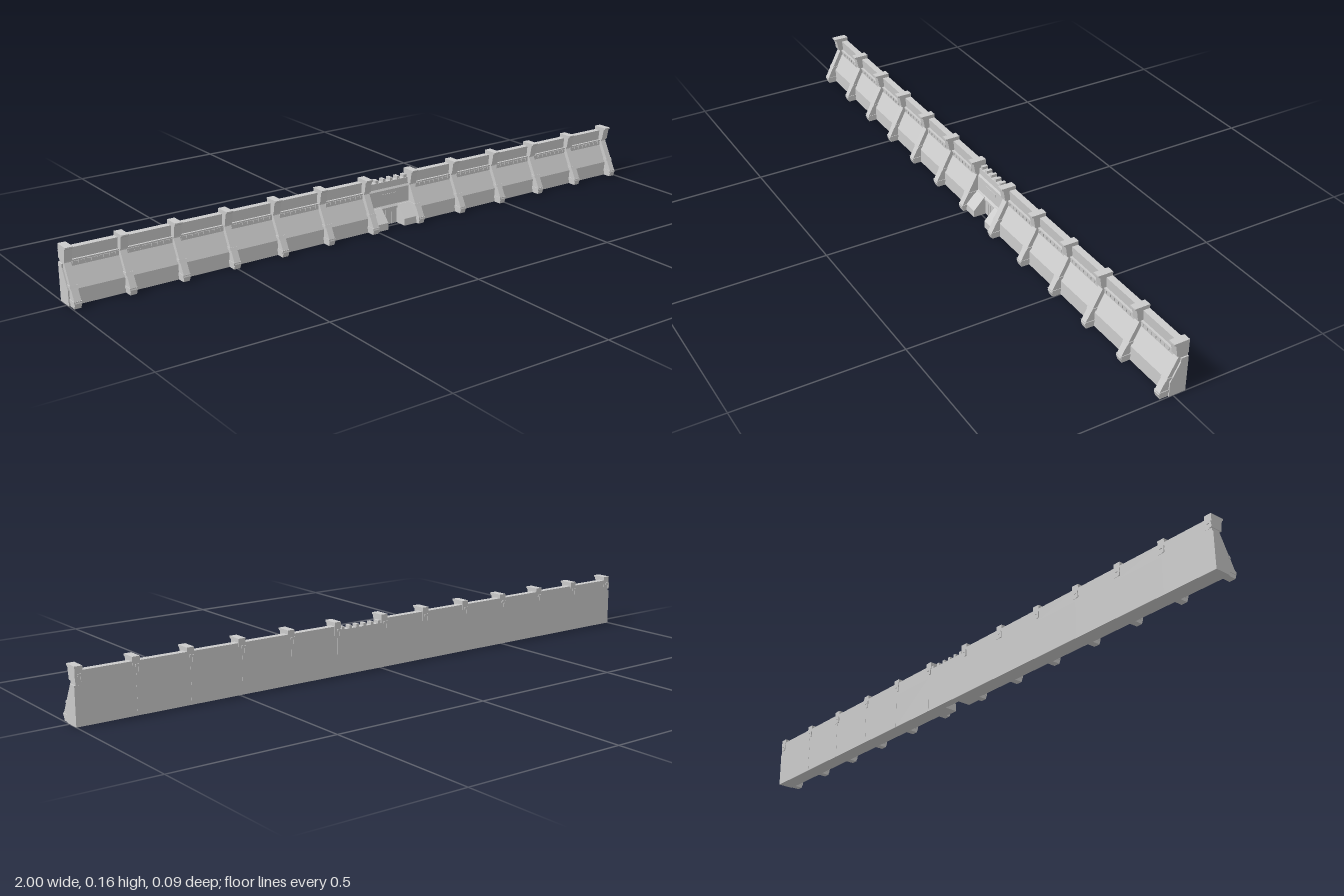
import * as THREE from 'three';
import { mergeGeometries } from 'three/addons/utils/BufferGeometryUtils.js';

const material = new THREE.MeshStandardMaterial({ color: 0xcccccc, flatShading: true });

// Sweep a [z, y] outline along x from x0 to x1
function prism(outline, x0, x1) {
  const shape = new THREE.Shape(outline.map(([z, y]) => new THREE.Vector2(-z, y)));
  return new THREE.ExtrudeGeometry(shape, { depth: x1 - x0, bevelEnabled: false })
    .rotateY(Math.PI / 2).translate(x0, 0, 0);
}

// Axis-aligned block given by its limits
function block(x0, x1, y0, y1, z0, z1) {
  return prism([[z0, y0], [z1, y0], [z1, y1], [z0, y1]], x0, x1);
}

export function createModel() {
  const group = new THREE.Group();
  const add = (name, geos) => {
    const mesh = new THREE.Mesh(mergeGeometries(geos), material);
    mesh.name = name;
    group.add(mesh);
  };

  // Buttress centres: seven left of the gate, six right of it
  const posts = [];
  for (let i = 0; i < 7; i++) posts.push(-0.986 + i * 0.1617);
  for (let i = 0; i < 6; i++) posts.push(0.158 + i * 0.1656);
  const gate = 6;

  const wallOutline = [[-0.039, 0], [0.0125, 0], [0.0125, 0.045], [-0.016, 0.1], [-0.016, 0.112], [-0.039, 0.112]];
  const parapetOutline = [[-0.039, 0.112], [-0.016, 0.112], [-0.021, 0.118], [-0.018, 0.151], [-0.039, 0.151]];
  const buttressOutline = [[-0.0385, 0], [0.038, 0], [0.043, 0.015], [0.041, 0.02],
    [-0.009, 0.115], [-0.009, 0.122], [-0.0385, 0.122]];
  const headOutline = [[-0.0395, 0.121], [-0.004, 0.121], [0.002, 0.155], [0.008, 0.159],
    [0.008, 0.163], [-0.0395, 0.163]];

  // Battered wall sections with parapet, stringcourse and corbels
  const walls = [], parapets = [], courses = [], corbels = [];
  for (let i = 0; i < posts.length - 1; i++) {
    if (i === gate) continue;
    const x0 = i === 0 ? -1 : posts[i];
    const x1 = i === posts.length - 2 ? 1 : posts[i + 1];
    walls.push(prism(wallOutline, x0, x1));
    parapets.push(prism(parapetOutline, posts[i], posts[i + 1]));
    courses.push(block(posts[i], posts[i + 1], 0.114, 0.118, -0.03, -0.014));
    for (let k = 1; k < 9; k++) {
      const x = posts[i] + ((posts[i + 1] - posts[i]) * k) / 9;
      corbels.push(block(x - 0.002, x + 0.002, 0.105, 0.114, -0.02, -0.0135));
    }
  }
  add('wallSections', walls);
  add('parapets', parapets);
  add('stringcourse', courses);
  add('corbels', corbels);

  // Sloped buttresses with collars, their heads and the small brackets behind
  const buttresses = [], collars = [], heads = [], brackets = [];
  for (const x of posts) {
    buttresses.push(prism(buttressOutline, x - 0.01, x + 0.01));
    collars.push(prism([[0, 0.012], [0.041, 0.012], [0.042, 0.021], [0, 0.021]], x - 0.0118, x + 0.0118));
    collars.push(prism([[-0.01, 0.052], [0.0245, 0.052], [0.0205, 0.06], [-0.01, 0.06]], x - 0.0118, x + 0.0118));
    heads.push(prism(headOutline, x - 0.0115, x + 0.0115));
    brackets.push(block(x - 0.011, x + 0.004, 0.135, 0.142, -0.042, -0.038));
    brackets.push(block(x - 0.011, x - 0.005, 0.121, 0.135, -0.042, -0.038));
  }
  add('buttresses', buttresses);
  add('buttressCollars', collars);
  add('buttressHeads', heads);
  add('rearBrackets', brackets);

  // Upright joints on the back of the sections beyond the gate
  add('rearJoints', posts.slice(gate + 1, -1).map((x) => block(x - 0.001, x + 0.001, 0, 0.121, -0.0395, -0.038)));

  // Recessed gate panel between two projecting piers
  const g0 = posts[gate], g1 = posts[gate + 1];
  const panelOutline = [[-0.039, 0], [-0.014, 0], [-0.014, 0.112], [-0.018, 0.118], [-0.018, 0.138], [-0.039, 0.138]];
  add('gatePanel', [prism(panelOutline, g0, g1)]);
  const pierOutline = [[-0.02, 0], [0.027, 0], [0.027, 0.022], [-0.009, 0.06], [-0.02, 0.06]];
  add('gatePiers', [prism(pierOutline, g0, 0.04), prism(pierOutline, 0.102, g1)]);
  add('gateLintel', [prism([[-0.02, 0.05], [-0.009, 0.05], [-0.009, 0.056], [-0.014, 0.063], [-0.02, 0.063]], g0, g1)]);
  add('gateDoorRibs', [0.058, 0.071, 0.084].map((x) => block(x - 0.001, x + 0.001, 0, 0.05, -0.016, -0.0125)));
  add('gateBlankPanel', [block(0.043, 0.099, 0.09, 0.1, -0.016, -0.0125)]);

  // Merlons along the gate top
  const merlons = [];
  for (let k = 0; k < 6; k++) {
    const x = g0 + 0.02 + (k * (g1 - g0 - 0.04)) / 5;
    merlons.push(block(x - 0.005, x + 0.005, 0.138, 0.147, -0.039, -0.02));
  }
  add('gateMerlons', merlons);
  return group;
}
